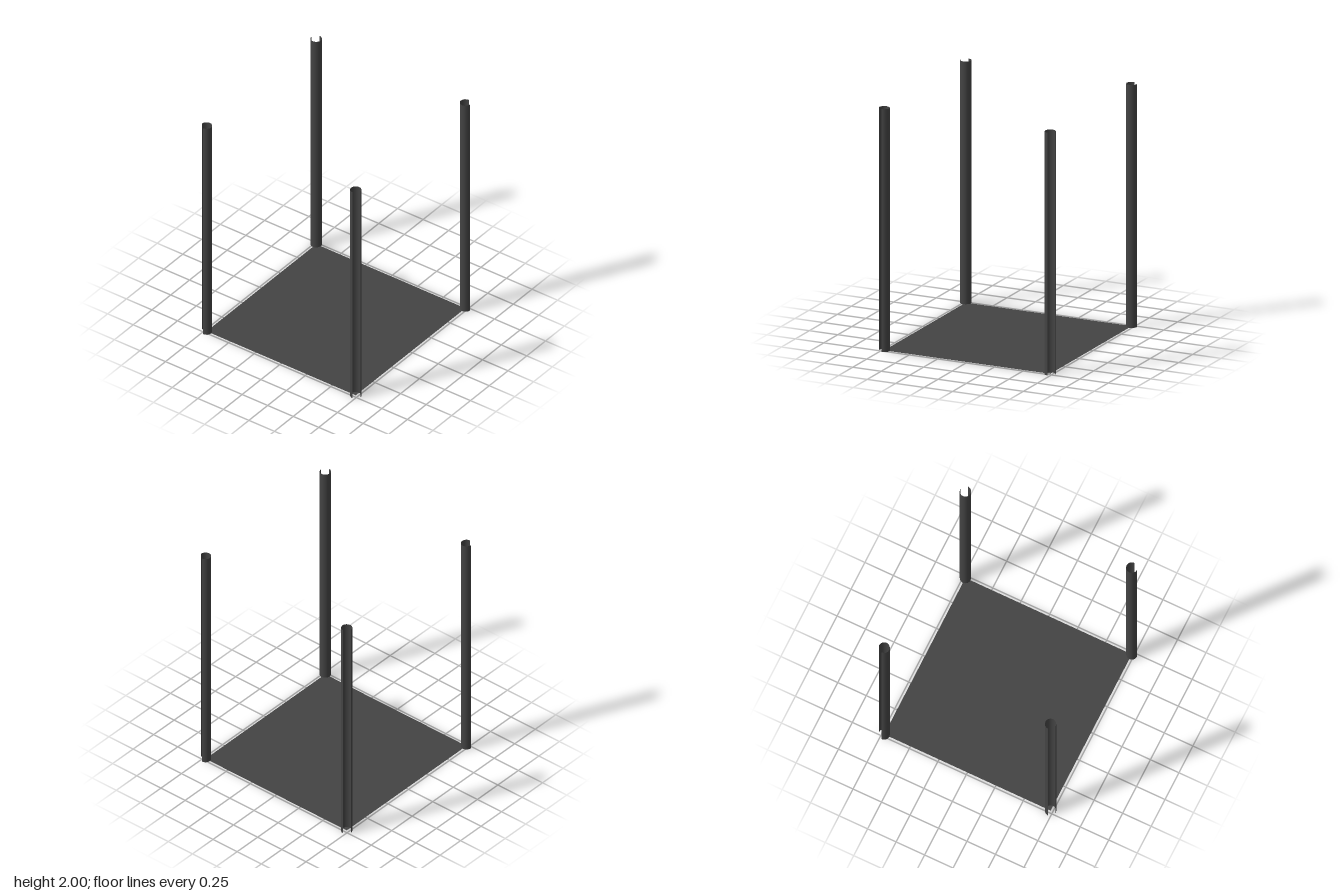
import * as THREE from 'three';

export function createModel() {
  const model = new THREE.Group();
  const darkGrey = new THREE.MeshStandardMaterial({ color: 0x444444, side: THREE.DoubleSide });
  darkGrey.name = 'darkGrey';

  const corner = 0.73, radius = 0.045, height = 2;

  // Flat square floor, its corners on the post axes
  const floor = new THREE.Mesh(
    new THREE.PlaneGeometry(corner * 2, corner * 2).rotateX(-Math.PI / 2), darkGrey);
  floor.name = 'floor';
  floor.position.y = 0.002;
  model.add(floor);

  // Open three-quarter tubes, the missing quarter facing outward
  const postGeometry = new THREE.CylinderGeometry(
    radius, radius, height, 12, 1, true, Math.PI / 2, Math.PI * 1.5);
  postGeometry.translate(corner, height / 2, corner);

  ['frontLeftPost', 'backLeftPost', 'backRightPost', 'frontRightPost'].forEach((name, i) => {
    const post = new THREE.Mesh(postGeometry, darkGrey);
    post.name = name;
    post.rotation.y = i * Math.PI / 2;
    model.add(post);
  });

  return model;
}
